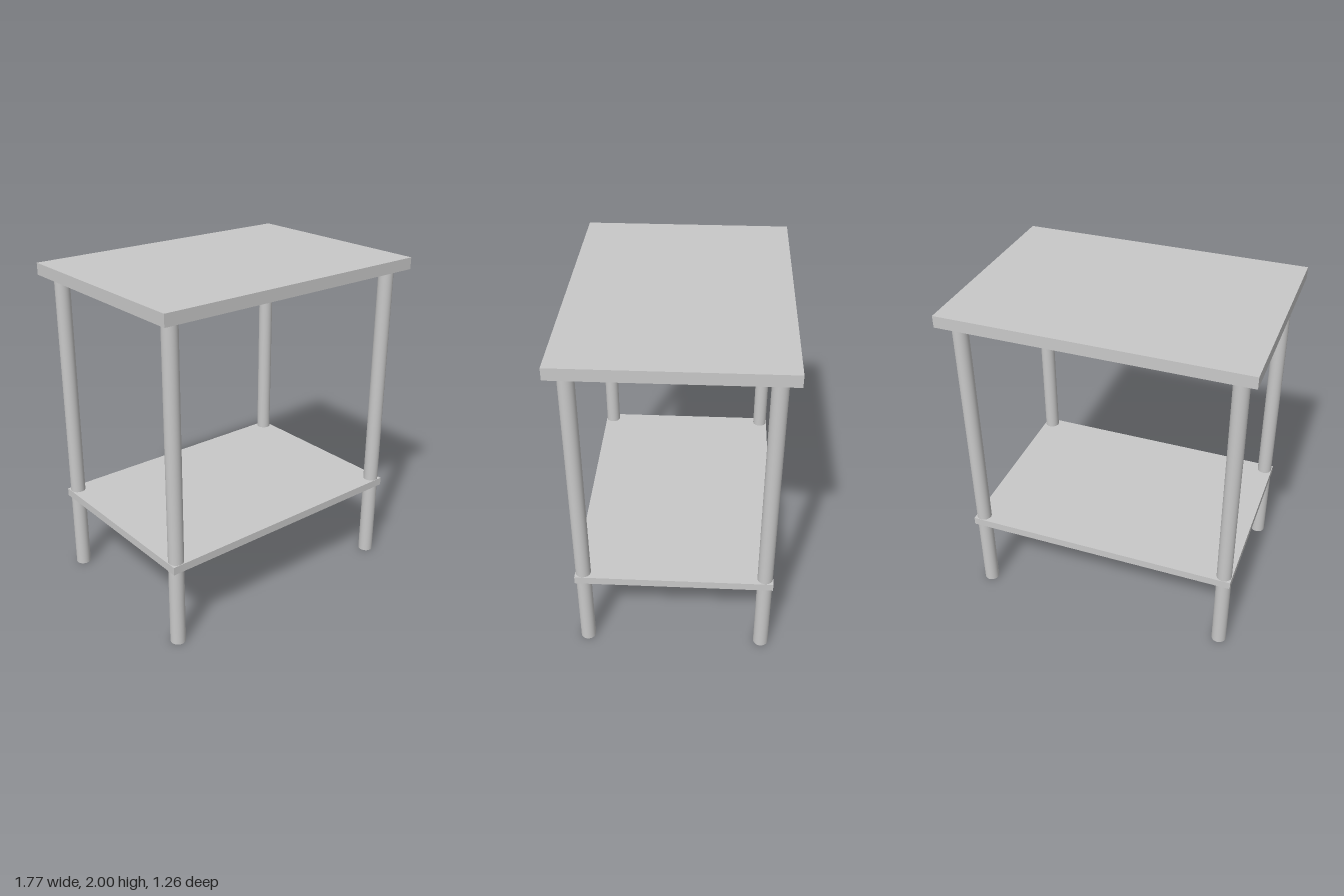
import * as THREE from 'three';

export function createModel() {
  const model = new THREE.Group();
  model.name = 'sideTable';

  const grey = new THREE.MeshStandardMaterial({ color: 0xc8c8c8 });
  grey.name = 'light grey';

  // Flat board spanning the heights y0 to y1
  function addBoard(name, width, depth, y0, y1) {
    const board = new THREE.Mesh(new THREE.BoxGeometry(width, y1 - y0, depth), grey);
    board.name = name;
    board.position.y = (y0 + y1) / 2;
    model.add(board);
  }

  addBoard('tableTop', 1.77, 1.264, 1.93, 2);
  addBoard('lowerShelf', 1.668, 1.16, 0.487, 0.535);

  // Four round legs running from the floor to the underside of the top
  const legHeight = 1.93;
  const legGeometry = new THREE.CylinderGeometry(0.045, 0.045, legHeight, 48);
  for (const [side, x] of [['Left', 0.786], ['Right', -0.786]]) {
    for (const [end, z] of [['front', 0.533], ['back', -0.533]]) {
      const leg = new THREE.Mesh(legGeometry, grey);
      leg.name = `${end}${side}Leg`;
      leg.position.set(x, legHeight / 2, z);
      model.add(leg);
    }
  }

  return model;
}
